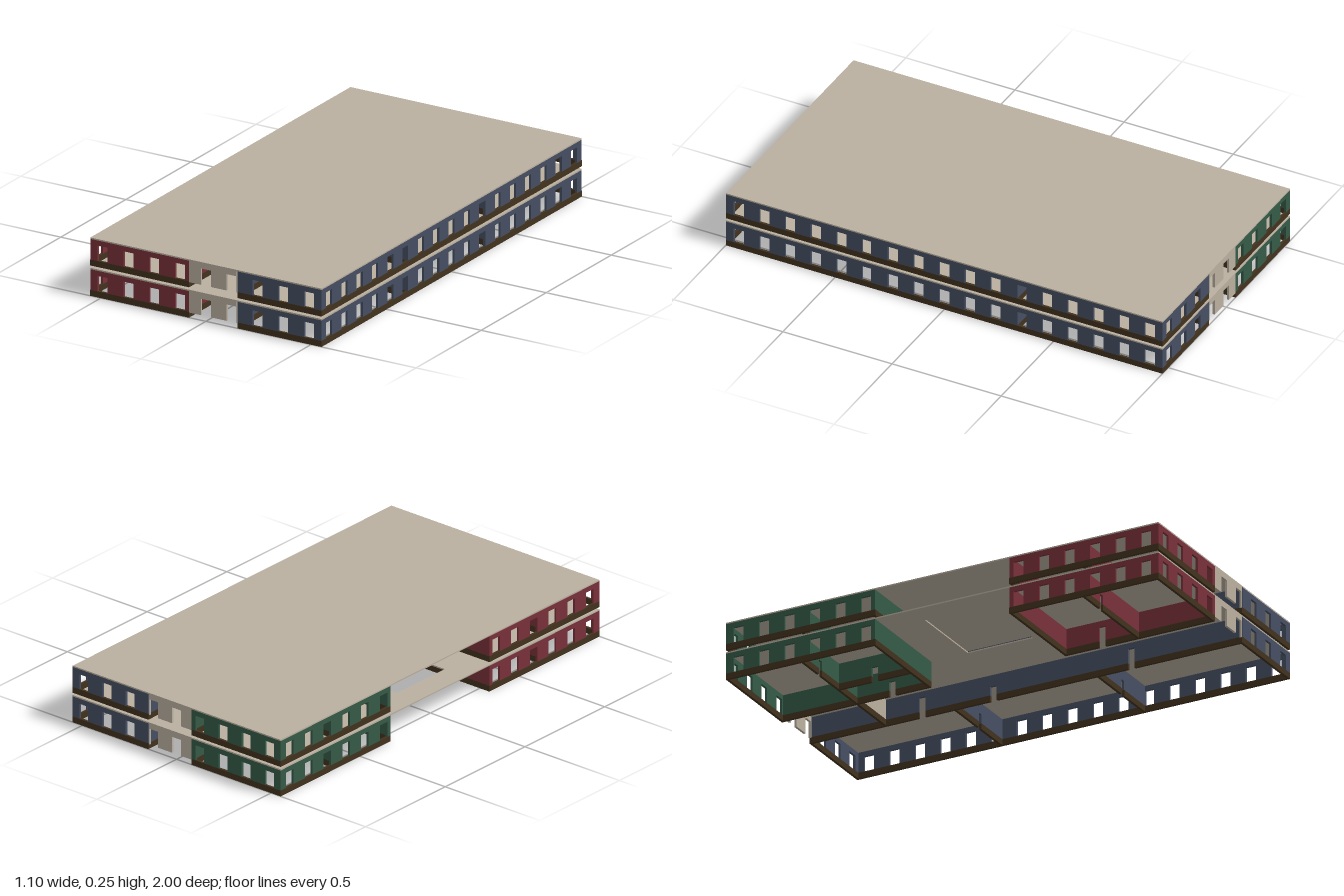
import * as THREE from 'three';

const mat = (name, color) => new THREE.MeshStandardMaterial({ name, color });

export function createModel() {
  const red = mat('red wall', 0x7a313a);
  const blue = mat('blue wall', 0x454e62);
  const green = mat('green wall', 0x355a47);
  const beige = mat('beige', 0xbab0a0);
  const brown = mat('brown base', 0x42321e);

  const BASE = 0.026, WALL_TOP = 0.115, SLAB_TOP = 0.121, STOREY = 0.1315;
  const T = 0.01, X = 0.55, Z = 1;                  // wall thickness, half footprint
  const XB = 0.15, XC = -0.08, ZC = 0.31, ZP = 0.65; // corridor sides, court, partitions

  const building = new THREE.Group();
  building.name = 'building';

  // Openings: windows stand on the base, doors cut through it
  const win = (c) => ({ c, w: 0.047, top: 0.093 });
  const door = (c, top = 0.065, w = 0.03) => ({ c, w, top, door: true });
  const windows = (step, from, to) => {
    const list = [];
    for (let i = -8; i <= 8; i++) {
      const c = i * step;
      if (c - 0.024 > from && c + 0.024 < to) list.push(win(c));
    }
    return list;
  };

  // Wall along 'x' or 'z' from a to b, centred on the other axis at "at"
  function wall(parent, name, axis, at, a, b, material, openings = [], bottom = BASE, hasBase = true) {
    const group = new THREE.Group();
    group.name = name;
    const sorted = [...openings].sort((p, q) => p.c - q.c);
    const s = new THREE.Shape();
    s.moveTo(a, bottom);
    for (const o of sorted) {
      s.lineTo(o.c - o.w / 2, bottom);
      s.lineTo(o.c - o.w / 2, o.top);
      s.lineTo(o.c + o.w / 2, o.top);
      s.lineTo(o.c + o.w / 2, bottom);
    }
    s.lineTo(b, bottom);
    s.lineTo(b, WALL_TOP);
    s.lineTo(a, WALL_TOP);
    const geo = new THREE.ExtrudeGeometry(s, { depth: T, bevelEnabled: false });
    geo.translate(0, 0, -T / 2);
    const panel = new THREE.Mesh(geo, material);
    panel.name = 'wallPanel';
    group.add(panel);
    if (hasBase) {
      let start = a;
      const ends = sorted.filter((o) => o.door).map((o) => [o.c - o.w / 2, o.c + o.w / 2]);
      for (const [end, next] of [...ends, [b, b]]) {
        const m = new THREE.Mesh(new THREE.BoxGeometry(end - start, BASE, T * 1.1), brown);
        m.name = 'wallBase';
        m.position.set((start + end) / 2, BASE / 2, 0);
        group.add(m);
        start = next;
      }
    }
    if (axis === 'x') group.position.z = at;
    else {
      group.rotation.y = -Math.PI / 2;   // local x runs along +z
      group.position.x = at;
    }
    parent.add(group);
  }

  // Floor or roof plate, optionally with a rectangular opening
  function slab(parent, name, hole) {
    const s = new THREE.Shape([[-X, -Z], [X, -Z], [X, Z], [-X, Z]].map((p) => new THREE.Vector2(...p)));
    if (hole) {
      const [x0, z0, x1, z1] = hole;
      s.holes.push(new THREE.Path([[x0, z0], [x0, z1], [x1, z1], [x1, z0]].map((p) => new THREE.Vector2(...p))));
    }
    const geo = new THREE.ExtrudeGeometry(s, { depth: SLAB_TOP - WALL_TOP, bevelEnabled: false });
    geo.rotateX(Math.PI / 2);
    geo.translate(0, SLAB_TOP, 0);
    const m = new THREE.Mesh(geo, beige);
    m.name = name;
    parent.add(m);
  }

  for (let level = 0; level < 2; level++) {
    const st = new THREE.Group();
    st.name = level ? 'upperStorey' : 'lowerStorey';
    st.position.y = level * STOREY;
    building.add(st);
    const ox = X - T / 2, oz = Z - T / 2;
    const sx = 0.1228, sz = 2 / 17;

    // Blue wing: three rooms along the whole left side
    wall(st, 'blueOuterWall', 'z', ox, -Z, Z, blue, windows(sz, -Z, Z));
    const middle = level ? door(0, 0.078, 0.056) : door(-0.15);
    wall(st, 'blueCorridorWall', 'z', XB + T / 2, -Z, Z, blue, [door(0.487, 0.09), middle, door(-0.48, 0.09)]);
    for (const side of [-1, 1]) {
      wall(st, 'blueEndWall', 'x', side * oz, XB, X, blue, windows(sx, XB, X));
      wall(st, 'bluePartition', 'x', side * 0.33, XB, X, blue, [door(0.355, 0.065, 0.021)]);
    }

    // Red wing at the front and green wing at the back, around the open court
    for (const side of [1, -1]) {
      const m = side > 0 ? red : green;
      const n = side > 0 ? 'red' : 'green';
      const [a, b] = side > 0 ? [ZC, Z] : [-Z, -ZC];
      wall(st, n + 'OuterWall', 'z', -ox, a, b, m, windows(sz, a, b));
      wall(st, n + 'EndWall', 'x', side * oz, -X, XC, m, windows(sx, -X, XC));
      wall(st, n + 'CourtWall', 'x', side * (ZC + T / 2), -X, XC, m);
      wall(st, n + 'Partition', 'x', side * ZP, -X, XC, m, [door(-0.402, 0.065, 0.024)]);
      wall(st, n + 'CorridorWall', 'z', XC - T / 2, a, b, m, [door(side * 0.485, level || side < 0 ? 0.065 : 0.09)]);
      // Corridor end screens, open at the foot
      wall(st, 'corridorScreen', 'x', side * oz, XC, XB - 0.004, beige, [win(0), { c: 0.121, w: 0.044, top: 0.093 }], 0.022, false);
    }
    wall(st, 'greenRoomDivider', 'z', -0.24, -ZP, -ZC, green, [door(-0.48)]);
    wall(st, 'corridorCrossWall', 'x', -ZP, XC, XB - 0.004, beige);

    // Lower ceiling has an opening over the court
    slab(st, level ? 'roof' : 'middleSlab', level ? null : [-0.44, -0.14, -0.08, 0.16]);
  }
  return building;
}
